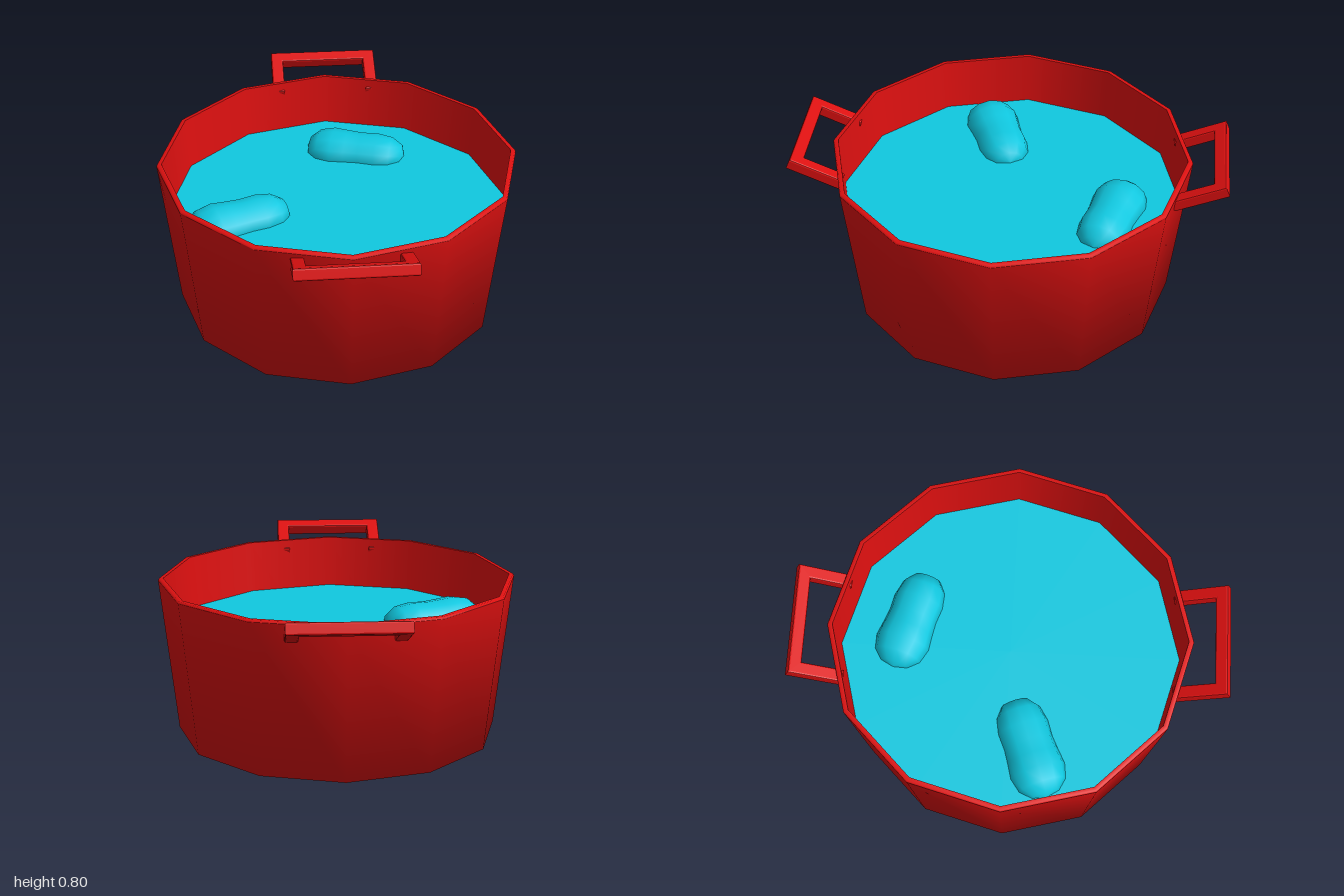
import * as THREE from 'three';

const SIDES = 12;
const red = new THREE.MeshStandardMaterial({ color: 0xdd1010, side: THREE.DoubleSide });
const blue = new THREE.MeshStandardMaterial({ color: 0x10c8e0, side: THREE.DoubleSide });

function lathe(name, points, material = red) {
  const profile = points.map(([r, y]) => new THREE.Vector2(r, y));
  const mesh = new THREE.Mesh(new THREE.LatheGeometry(profile, SIDES), material);
  mesh.name = name;
  return mesh;
}

// U-shaped bevelled bar, tilted up and away from the wall
function handle(name, yaw) {
  const bevel = 0.008, thickness = 0.055;
  const outer = 0.265 - bevel, inner = 0.205 + bevel;
  const end = 0.252 - bevel, innerEnd = 0.192 + bevel;
  const shape = new THREE.Shape([
    [-outer, 0], [-inner, 0], [-inner, innerEnd], [inner, innerEnd],
    [inner, 0], [outer, 0], [outer, end], [-outer, end],
  ].map(([x, y]) => new THREE.Vector2(x, y)));
  const depth = thickness - 2 * bevel;
  const geometry = new THREE.ExtrudeGeometry(shape, {
    depth, bevelEnabled: true, bevelSize: bevel, bevelThickness: bevel, bevelSegments: 2,
  });
  geometry.translate(0, 0, -depth / 2);
  geometry.rotateX(THREE.MathUtils.degToRad(67));
  geometry.translate(0, 0.676, 0.764);
  geometry.rotateY(yaw);
  const mesh = new THREE.Mesh(geometry, red);
  mesh.name = name;
  return mesh;
}

// Smooth floating lump: a waisted capsule lying on its side, half under water
function lump(name, x, z, yaw) {
  const mesh = lathe(name, [
    [0, -0.25], [0.065, -0.235], [0.112, -0.19], [0.13, -0.12], [0.122, -0.05],
    [0.116, 0.02], [0.12, 0.1], [0.105, 0.175], [0.065, 0.225], [0, 0.24],
  ], blue);
  mesh.geometry.rotateZ(-Math.PI / 2);
  mesh.geometry.scale(1, 0.75, 1);
  mesh.position.set(x, 0.49, z);
  mesh.rotation.y = yaw;
  return mesh;
}

export function createModel() {
  const model = new THREE.Group();
  model.name = 'cookingPot';

  // Pot: outer shell with base, narrow rim, inner wall with floor
  model.add(lathe('outerWall', [[0, 0], [0.76, 0], [0.84, 0.73]]));
  model.add(lathe('rim', [[0.84, 0.73], [0.835, 0.74], [0.816, 0.74]]));
  model.add(lathe('innerWall', [[0.816, 0.74], [0.765, 0.05]]));
  model.add(lathe('innerFloor', [[0.765, 0.05], [0, 0.05]]));

  // Handles at front and back
  model.add(handle('frontHandle', 0), handle('backHandle', Math.PI));

  // Water surface and floating lumps
  model.add(lathe('water', [[0.798, 0.49], [0, 0.49]], blue));
  model.add(lump('backLump', 0.135, -0.478, -0.28));
  model.add(lump('sideLump', -0.465, 0.115, 0.36));

  return model;
}
